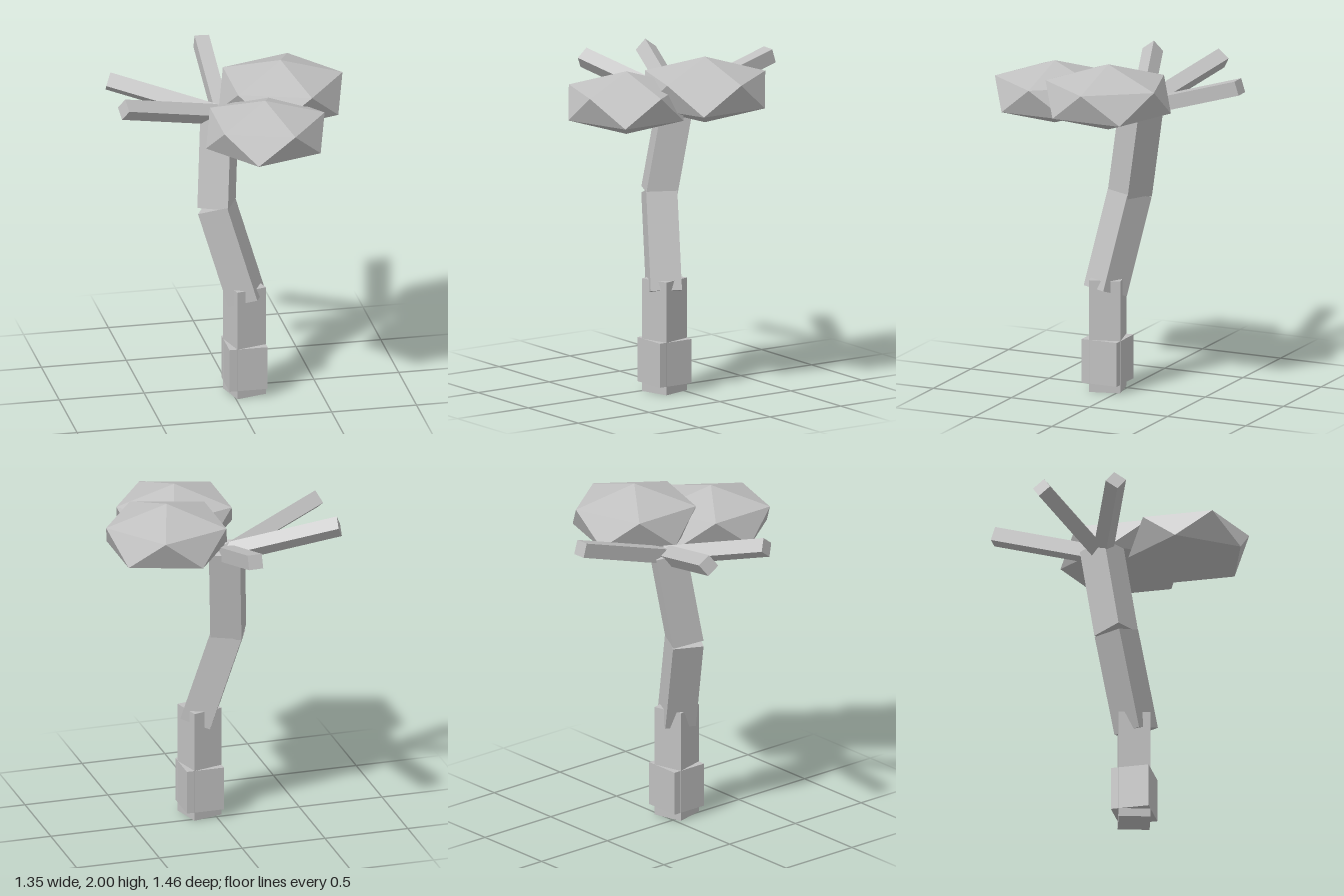
import * as THREE from 'three';

const UP = new THREE.Vector3(0, 1, 0);

export function createModel() {
  const model = new THREE.Group();
  model.name = 'tree';
  const grey = new THREE.MeshStandardMaterial({ color: 0xc0c0c0 });
  grey.name = 'plain grey';

  // Square beam between two points, twisted about its own axis
  function beam(name, from, to, width, twist = 0) {
    const a = new THREE.Vector3(...from);
    const b = new THREE.Vector3(...to);
    const mesh = new THREE.Mesh(new THREE.BoxGeometry(width, a.distanceTo(b), width), grey);
    mesh.name = name;
    mesh.position.copy(a).add(b).multiplyScalar(0.5);
    mesh.quaternion
      .setFromUnitVectors(UP, b.clone().sub(a).normalize())
      .multiply(new THREE.Quaternion().setFromAxisAngle(UP, THREE.MathUtils.degToRad(twist)));
    model.add(mesh);
  }

  // Squashed icosahedron standing on a corner
  function foliage(name, center, radius, halfHeight) {
    const geometry = new THREE.IcosahedronGeometry(1, 0);
    geometry.rotateZ(Math.atan(2 / (1 + Math.sqrt(5))));
    geometry.rotateY(Math.PI);
    geometry.scale(radius, halfHeight, radius);
    const mesh = new THREE.Mesh(geometry, grey);
    mesh.name = name;
    mesh.position.set(...center);
    model.add(mesh);
  }

  // Trunk in three crooked segments, with a square collar at the base
  beam('lowerTrunk', [0.073, 0, 0.09], [0.073, 0.665, 0.09], 0.184, 15);
  beam('baseCollar', [0.073, 0.05, 0.09], [0.073, 0.31, 0.09], 0.224);
  beam('middleTrunk', [0.083, 0.585, 0.1], [-0.078, 1.145, 0.02], 0.182, -26);
  beam('upperTrunk', [-0.078, 1.14, 0.02], [-0.04, 1.7, -0.075], 0.182, -26);

  // Bare branches fanning out from the trunk top
  const fork = [-0.03, 1.67, -0.075];
  beam('backBranch', fork, [-0.013, 1.867, -0.715], 0.085);
  beam('rightBackBranch', fork, [-0.652, 1.845, -0.29], 0.085, 18);
  beam('rightFrontBranch', fork, [-0.652, 1.845, 0.15], 0.085, -18);

  // Leaf clumps
  foliage('frontFoliage', [0.13, 1.75, 0.4], 0.391, 0.185);
  foliage('backFoliage', [0.31, 1.806, -0.028], 0.408, 0.194);

  return model;
}
